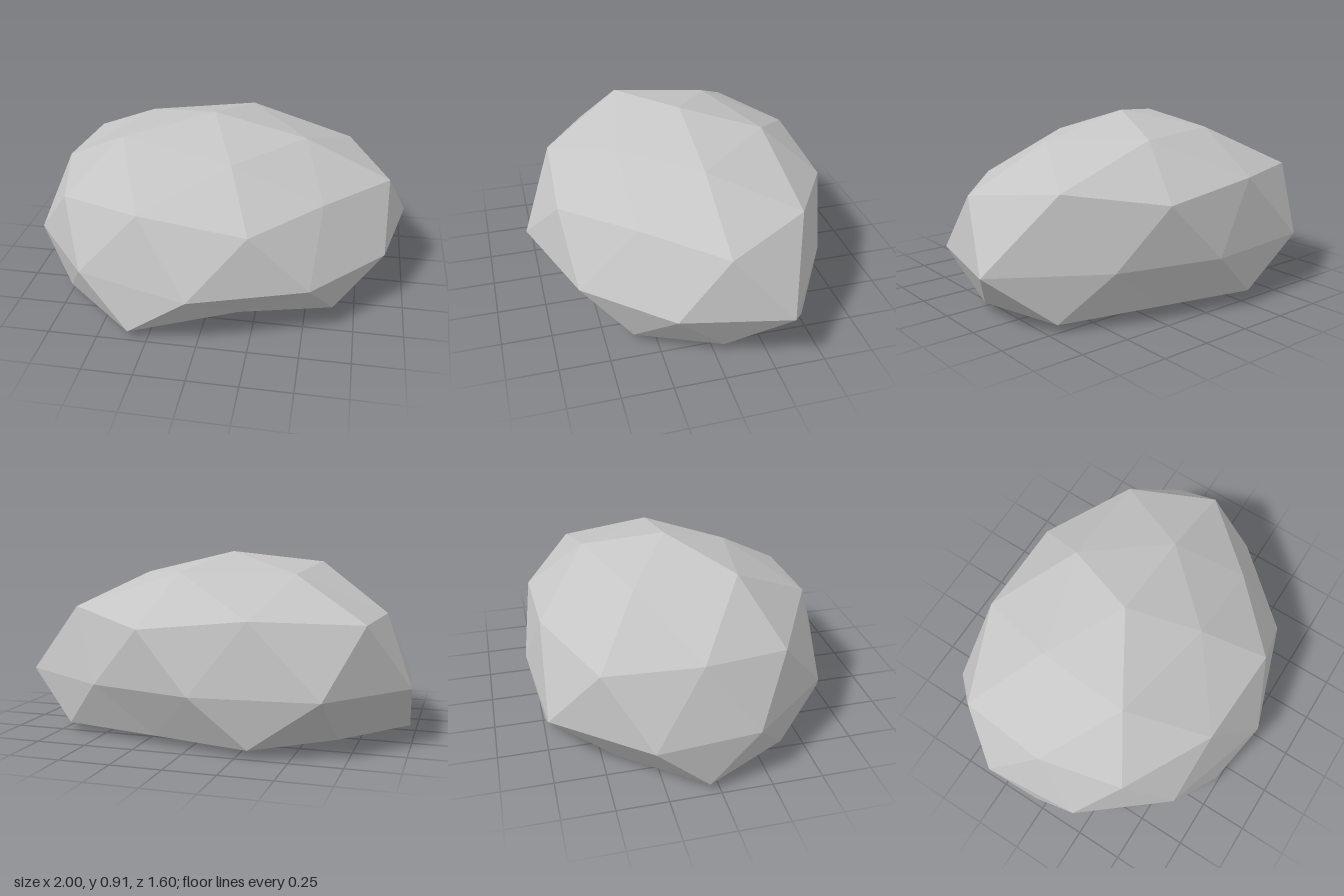
import * as THREE from 'three';

// Rings of a faceted boulder: start angle, angular step, then [radius, height] per corner
const RINGS = {
  crown: [0, 72, [[0.4, 0.795], [0.38, 0.78], [0.443, 0.85], [0.4, 0.81], [0.42, 0.82]]],
  shoulder: [0, 72, [[0.773, 0.588], [0.73, 0.57], [0.725, 0.57], [0.79, 0.6], [0.725, 0.57]]],
  shoulderMid: [36, 72, [[0.62, 0.6], [0.707, 0.63], [0.675, 0.608], [0.71, 0.625], [0.725, 0.64]]],
  belt: [18, 36, [0.81, 0.805, 0.845, 0.818, 0.8, 0.84, 0.86, 0.75, 0.75, 0.91].map((r) => [r, 0.28])],
  foot: [36, 72, [0.7, 0.825, 0.78, 0.725, 0.765].map((r) => [r, 0.039])],
  footMid: [0, 72, [0.715, 0.56, 0.73, 0.65, 0.6].map((r) => [r, 0.039])],
  base: [36, 72, [0.42, 0.42, 0.45, 0.42, 0.42].map((r) => [r, 0.011])],
};
const CX = -0.04, CZ = -0.05, STRETCH = 1.2;

function ringPoints([start, step, corners]) {
  return corners.map(([r, y], i) => {
    const a = THREE.MathUtils.degToRad(start + step * i);
    return new THREE.Vector3(CX + STRETCH * r * Math.cos(a), y, CZ + r * Math.sin(a));
  });
}

function boulderGeometry() {
  const p = {};
  for (const name in RINGS) p[name] = ringPoints(RINGS[name]);
  const top = new THREE.Vector3(CX, 0.91, CZ);
  const bottom = new THREE.Vector3(CX, 0, CZ);
  const centre = new THREE.Vector3(CX, 0.28, CZ);
  const positions = [];

  // Adds one facet, wound so that it faces away from the centre
  const facet = (a, b, c) => {
    const n = b.clone().sub(a).cross(c.clone().sub(a));
    const corners = n.dot(a.clone().sub(centre)) > 0 ? [a, b, c] : [a, c, b];
    corners.forEach((v) => positions.push(v.x, v.y, v.z));
  };

  const { crown, shoulder, shoulderMid, belt, foot, footMid, base } = p;
  for (let k = 0; k < 5; k++) {
    const next = (k + 1) % 5, prev = (k + 4) % 5;
    const e0 = belt[(2 * k + 9) % 10], e1 = belt[2 * k], e2 = belt[2 * k + 1];
    // Cap
    facet(top, crown[k], crown[next]);
    facet(crown[k], shoulder[k], shoulderMid[k]);
    facet(crown[k], shoulder[k], shoulderMid[prev]);
    facet(crown[k], shoulderMid[k], crown[next]);
    // Upper sides
    facet(shoulder[k], e0, e1);
    facet(shoulder[k], e1, shoulderMid[k]);
    facet(shoulderMid[k], e1, e2);
    facet(shoulderMid[k], e2, shoulder[next]);
    // Lower sides
    facet(footMid[k], e0, e1);
    facet(footMid[k], e1, foot[k]);
    facet(foot[k], e1, e2);
    facet(foot[k], e2, footMid[next]);
    // Underside
    facet(base[k], foot[k], footMid[k]);
    facet(base[k], foot[k], footMid[next]);
    facet(base[k], base[prev], footMid[k]);
    facet(bottom, base[k], base[next]);
  }

  const geometry = new THREE.BufferGeometry();
  geometry.setAttribute('position', new THREE.Float32BufferAttribute(positions, 3));
  geometry.computeVertexNormals(); // unshared corners give flat facets
  return geometry;
}

export function createModel() {
  const group = new THREE.Group();
  group.name = 'rock';
  const stone = new THREE.MeshStandardMaterial({ color: 0xc5c5c5 });
  stone.name = 'stone grey';
  const boulder = new THREE.Mesh(boulderGeometry(), stone);
  boulder.name = 'boulder';
  group.add(boulder);
  return group;
}
